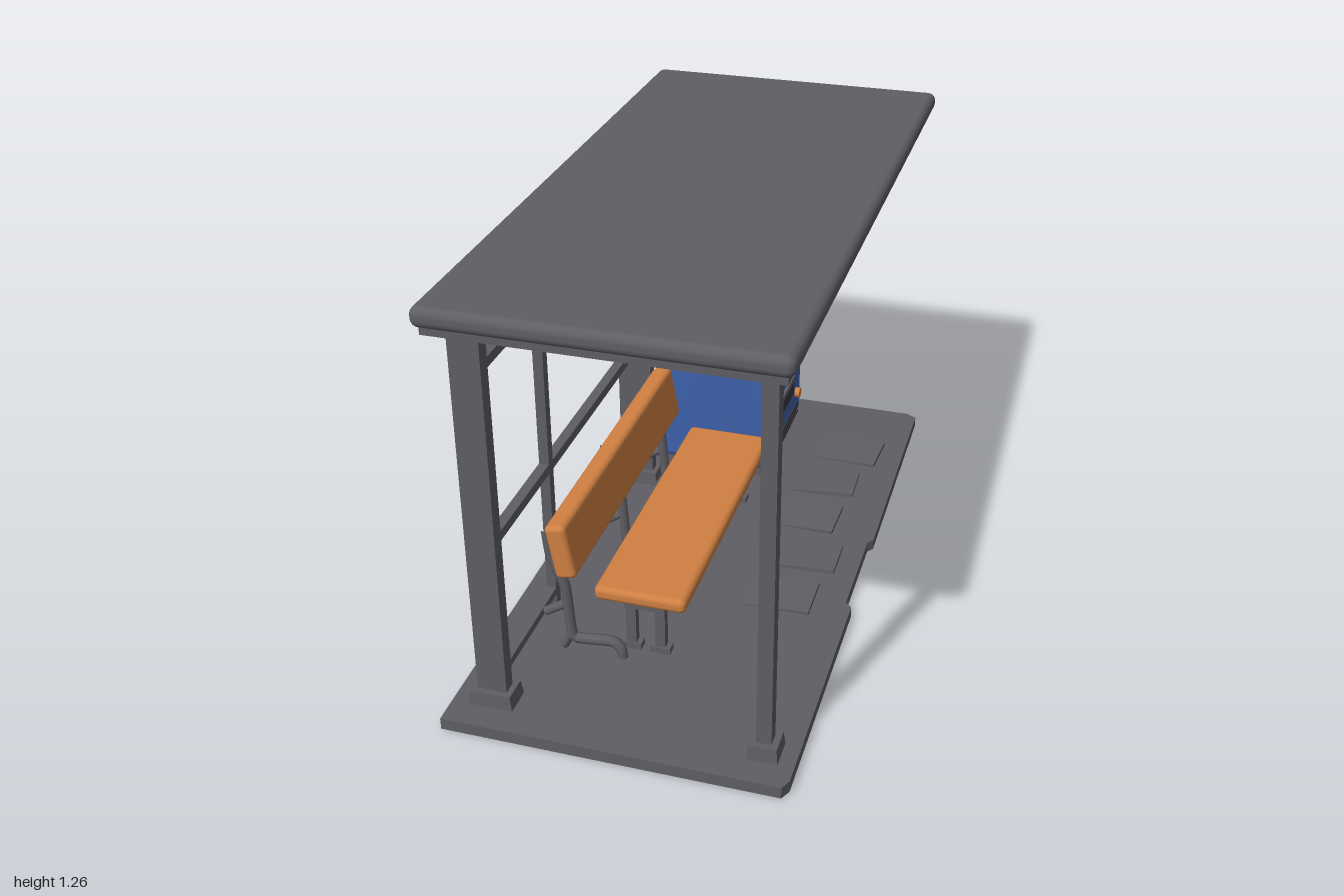
import * as THREE from 'three';
import { RoundedBoxGeometry } from 'three/addons/geometries/RoundedBoxGeometry.js';
import { toCreasedNormals } from 'three/addons/utils/BufferGeometryUtils.js';

const paint = (name, color) => {
  const m = new THREE.MeshStandardMaterial({ color });
  m.name = name;
  return m;
};

export function createModel() {
  const grey = paint('grey metal', 0x5f5e64), dark = paint('dark recess', 0x35363c);
  const blue = paint('cabinet blue', 0x3f62ad), orange = paint('orange wood', 0xcf7f42);
  const cyan = paint('pale cyan', 0x9fd3da), teal = paint('teal', 0x3f7496);
  const white = paint('off white', 0xcfd2d4);

  const model = new THREE.Group();
  model.name = 'busShelter';
  const group = (name, parent = model) => {
    const g = new THREE.Group();
    g.name = name;
    parent.add(g);
    return g;
  };
  const add = (parent, name, geo, mat, x = 0, y = 0, z = 0) => {
    const m = new THREE.Mesh(geo, mat);
    m.name = name;
    m.position.set(x, y, z);
    parent.add(m);
    return m;
  };
  // Box given by its limits on each axis
  const span = (parent, name, mat, x0, x1, y0, y1, z0, z1, r = 0) => {
    const s = [x1 - x0, y1 - y0, z1 - z0];
    const geo = r ? new RoundedBoxGeometry(...s, 3, r) : new THREE.BoxGeometry(...s);
    return add(parent, name, geo, mat, (x0 + x1) / 2, (y0 + y1) / 2, (z0 + z1) / 2);
  };
  const polygon = (pts) => new THREE.Shape(pts.map(p => new THREE.Vector2(...p)));
  const rect = (u0, u1, v0, v1) => [[u0, v0], [u1, v0], [u1, v1], [u0, v1]];
  const roundRect = (u0, u1, v0, v1, r) => {
    const s = new THREE.Shape();
    s.absarc(u1 - r, v0 + r, r, -Math.PI / 2, 0);
    s.absarc(u1 - r, v1 - r, r, 0, Math.PI / 2);
    s.absarc(u0 + r, v1 - r, r, Math.PI / 2, Math.PI);
    s.absarc(u0 + r, v0 + r, r, Math.PI, Math.PI * 1.5);
    s.closePath();
    return s;
  };

  // Paved base with a notched outline
  const ground = group('base');
  const outline = polygon([[-0.485, -1], [0.47, -1], [0.485, -0.97], [0.485, -0.2], [0.465, -0.18],
    [0.465, 0.15], [0.48, 0.17], [0.475, 0.98], [0.44, 1], [-0.38, 1], [-0.39, 0.99], [-0.485, 0.99],
    [-0.485, 0.71], [-0.43, 0.69], [-0.43, 0.14], [-0.485, 0.11]]);
  const slabGeo = new THREE.ExtrudeGeometry(outline, { depth: 0.036, bevelEnabled: false });
  slabGeo.rotateX(-Math.PI / 2);
  add(ground, 'slab', slabGeo, grey);
  for (let i = 0; i < 5; i++) {
    const tile = add(ground, 'looseTile', new THREE.BoxGeometry(0.2, 0.012, 0.15), grey,
      0.27 + 0.03 * Math.sin(i * 2), 0.039, 0.2 - i * 0.22);
    tile.rotation.set(0.03 * (i % 2 ? -1 : 1), 0.12 * Math.sin(i * 3), 0.04);
  }

  // Posts with tapered feet
  const frame = group('frame');
  const post = (x0, x1, z, hz) => {
    span(frame, 'post', grey, x0, x1, 0.03, 1.2, z - hz, z + hz);
    const foot = new THREE.CylinderGeometry(Math.SQRT1_2 * 0.9, Math.SQRT1_2, 0.045, 4).toNonIndexed();
    foot.rotateY(Math.PI / 4);
    foot.computeVertexNormals();
    add(frame, 'postFoot', foot, grey, (x0 + x1) / 2, 0.057, z).scale.set(x1 - x0 + 0.045, 1, hz * 2 + 0.045);
  };
  post(-0.415, -0.33, 0.878, 0.021);
  post(-0.415, -0.305, -0.32, 0.018);
  post(-0.415, -0.335, -0.888, 0.017);
  post(0.375, 0.417, 0.878, 0.021);
  span(frame, 'thinPost', grey, -0.395, -0.365, 0.03, 1.2, 0.405, 0.435);

  // Rear rails
  span(frame, 'topRail', grey, -0.395, -0.365, 1.025, 1.055, -0.32, 0.87);
  span(frame, 'middleRail', grey, -0.395, -0.365, 0.5, 0.53, -0.89, 0.87);
  span(frame, 'bottomRail', grey, -0.395, -0.365, 0.075, 0.1, -0.32, 0.87);

  // Roof: rounded slab, lip around the rim, ribs beneath
  const roof = group('roof');
  span(roof, 'roofSlab', grey, -0.475, 0.47, 1.208, 1.265, -0.97, 0.975, 0.024);
  for (const [a, b] of [[-0.455, -0.4], [0.395, 0.45]])
    span(roof, 'sideLip', grey, a, b, 1.187, 1.225, -0.955, 0.955);
  for (const [a, b] of [[-0.955, -0.9], [0.9, 0.955]])
    span(roof, 'endLip', grey, -0.4, 0.395, 1.187, 1.225, a, b);
  span(roof, 'rearBeam', grey, -0.405, -0.36, 1.165, 1.21, -0.9, 0.9);
  span(roof, 'ceiling', dark, -0.4, 0.395, 1.203, 1.21, -0.9, 0.9);
  for (const z of [-0.78, -0.31, 0.08, 0.4])
    span(roof, 'rib', grey, -0.4, 0.22, 1.19, 1.205, z - 0.009, z + 0.009);
  for (const [x, z] of [[-0.05, 0.46], [-0.34, 0.46], [-0.34, -0.7]]) {
    add(roof, 'lamp', new THREE.SphereGeometry(0.028, 14, 8), orange, x, 1.187, z).scale.y = 0.5;
  }

  // Bench: planks, seat frames and curved back brackets
  const bench = group('bench');
  span(bench, 'seat', orange, -0.175, 0.095, 0.225, 0.27, -0.322, 0.62, 0.018);
  add(bench, 'backrest', new RoundedBoxGeometry(0.062, 0.17, 0.97, 3, 0.016), orange, -0.243, 0.412, 0.2).rotation.z = 0.18;
  for (const z of [0.55, -0.275]) {
    span(bench, 'seatCrossbar', grey, -0.1, 0.02, 0.185, 0.228, z - 0.025, z + 0.025);
    for (const x of [-0.085, 0.002]) {
      span(bench, 'seatLeg', grey, x - 0.015, x + 0.015, 0.035, 0.2, z - 0.013, z + 0.013);
      span(bench, 'seatFoot', grey, x - 0.03, x + 0.03, 0.034, 0.055, z - 0.018, z + 0.018);
    }
  }
  span(bench, 'underRail', grey, -0.06, -0.025, 0.2, 0.228, -0.27, 0.55);
  const tube = (pts, z, r) => add(bench, 'backBracket', new THREE.TubeGeometry(new THREE.CatmullRomCurve3(
    pts.map(([x, y]) => new THREE.Vector3(x, y, 0)), false, 'catmullrom', 0.3), 32, r, 8), grey, 0, 0, z);
  for (const z of [0.61, 0.13, -0.27]) {
    tube([[-0.31, 0.435], [-0.3, 0.35], [-0.262, 0.25], [-0.248, 0.09], [-0.225, 0.075], [-0.125, 0.085],
      [-0.1, 0.065], [-0.095, 0.035]], z, 0.016);
    tube([[-0.325, 0.15], [-0.262, 0.19]], z, 0.014);
    tube([[-0.25, 0.09], [-0.275, 0.04]], z, 0.014);
    span(bench, 'backMount', grey, -0.315, -0.255, 0.4, 0.43, z - 0.013, z + 0.013);
  }

  // Vending machine, built facing local +z (local x runs along the front), then turned to face +x
  const machine = group('vendingMachine');
  machine.rotation.y = Math.PI / 2;
  machine.position.x = 0.065;
  const U0 = 0.42, U1 = 0.885, V0 = 0.07, V1 = 0.97;
  const slab = (name, shape, w0, w1) => {
    const b = 0.014;
    const geo = new THREE.ExtrudeGeometry(shape, { depth: w1 - w0 - 2 * b, bevelSize: b, bevelThickness: b,
      bevelOffset: -b, bevelSegments: 3, curveSegments: 5 });
    add(machine, name, toCreasedNormals(geo, 0.6), blue, 0, 0, w0 + b);
  };
  slab('cabinet', roundRect(U0, U1, V0, V1, 0.025), -0.395, -0.05);
  const door = roundRect(U0, U1, V0, V1, 0.025);
  door.holes.push(polygon(rect(0.485, 0.75, 0.525, 0.9)));
  slab('door', door, -0.085, 0);
  span(machine, 'topPanel', teal, U0 + 0.03, U1 - 0.03, V1 - 0.002, V1 + 0.003, -0.36, -0.04);
  for (const u of [0.46, 0.845])
    for (const w of [-0.35, -0.04])
      add(machine, 'machineFoot', new THREE.CylinderGeometry(0.018, 0.024, 0.06, 10), grey, u, 0.056, w);

  // Display window: surround, backing, shelves and bottles
  const surround = polygon(rect(0.445, 0.785, 0.49, 0.94));
  surround.holes.push(polygon(rect(0.475, 0.76, 0.51, 0.915)));
  add(machine, 'windowSurround', new THREE.ExtrudeGeometry(surround, { depth: 0.007, bevelEnabled: false }), cyan, 0, 0, -0.001);
  span(machine, 'edgeStrip', cyan, 0.848, 0.858, 0.5, 0.94, -0.002, 0.004);
  span(machine, 'topStrip', cyan, 0.78, 0.858, 0.93, 0.94, -0.002, 0.004);
  span(machine, 'windowBack', teal, 0.472, 0.763, 0.507, 0.918, -0.05, -0.046);
  const bottle = new THREE.LatheGeometry([[0, 0], [0.013, 0], [0.013, 0.045], [0.006, 0.06], [0.006, 0.075], [0, 0.075]]
    .map(p => new THREE.Vector2(...p)), 10);
  const can = new THREE.CylinderGeometry(0.013, 0.013, 0.055, 10).translate(0, 0.0275, 0);
  const stock = [[white, orange, white, white, orange, white, orange],
    [white, teal, orange, orange, white, orange, cyan], [white, white, cyan, white, white, white, cyan]];
  stock.forEach((row, r) => {
    const y = [0.525, 0.645, 0.775][r];
    span(machine, 'shelf', white, 0.474, 0.761, y - 0.026, y, -0.046, 0.008);
    row.forEach((mat, i) => {
      add(machine, 'drink', r === 1 && i % 2 ? can : bottle, mat, 0.5 + i * 0.039, y, -0.018);
    });
  });
  span(machine, 'lightTube', white, 0.485, 0.75, 0.888, 0.9, -0.04, -0.02);

  // Controls and lower front
  const knob = (name, mat, u, v, r, d) =>
    add(machine, name, new THREE.CylinderGeometry(r, r, d, 14).rotateX(Math.PI / 2), mat, u, v, d / 2 - 0.003);
  for (const v of [0.84, 0.78, 0.71, 0.64, 0.57]) {
    span(machine, 'selector', v === 0.57 ? teal : dark, 0.795, 0.835, v - 0.012, v + 0.012, -0.003, 0.012);
    knob('selectorButton', white, 0.808, v, 0.012, 0.022);
  }
  span(machine, 'noticePanel', white, 0.46, 0.625, 0.315, 0.455, -0.002, 0.004);
  span(machine, 'coinPanel', dark, 0.7, 0.765, 0.415, 0.445, -0.002, 0.012);
  span(machine, 'coinReturn', teal, 0.775, 0.84, 0.435, 0.455, -0.002, 0.02);
  for (const [u, v] of [[0.465, 0.45], [0.475, 0.13], [0.81, 0.17], [0.75, 0.455], [0.82, 0.415]])
    knob('roundButton', orange, u, v, 0.018, 0.02);
  span(machine, 'slotFrame', grey, 0.525, 0.75, 0.2, 0.27, -0.002, 0.01);
  span(machine, 'slotOpening', dark, 0.545, 0.73, 0.213, 0.257, 0.008, 0.013);
  for (const v of [0.085, 0.102, 0.119])
    span(machine, 'vent', dark, 0.55, 0.83, v - 0.005, v + 0.005, -0.003, 0.006);
  return model;
}
